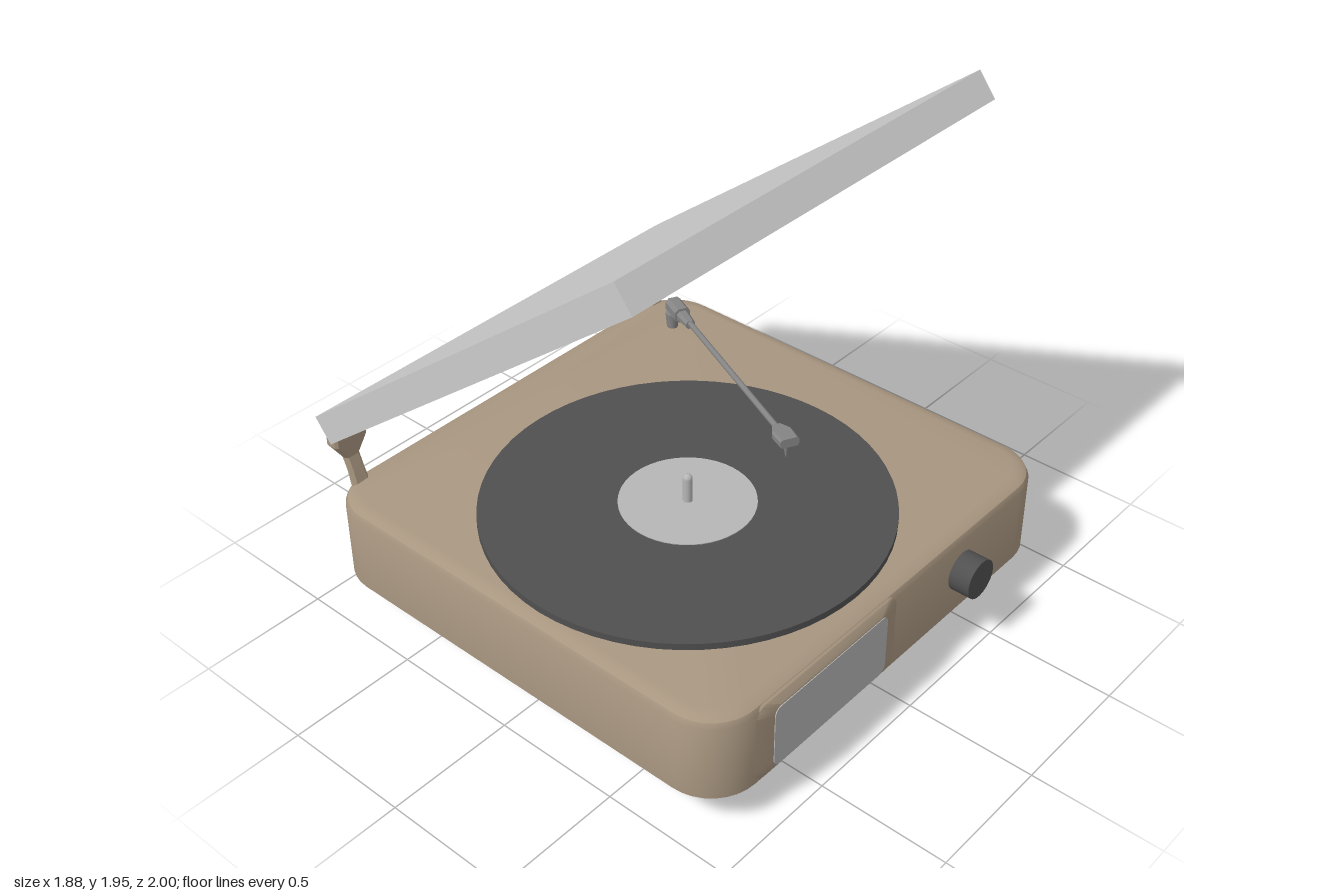
import * as THREE from 'three';
import { toCreasedNormals } from 'three/addons/utils/BufferGeometryUtils.js';

const mat = (color) => new THREE.MeshStandardMaterial({ color });
const BROWN = mat(0xa89680), DARK = mat(0x505050), GREY = mat(0xcccccc);
const PALE = mat(0xb6b6b6), METAL = mat(0x858585);

// Rounded rectangle at height h: w by d, corner radius r, seg steps per corner
function ring(w, d, r, h, seg, cx = 0, cy = 0) {
  const pts = [];
  for (let k = 0; k < 4; k++) {
    const sx = k === 0 || k === 3 ? 1 : -1, sy = k < 2 ? 1 : -1;
    for (let j = 0; j <= seg; j++) {
      const a = (k + (seg ? j / seg : 0.5)) * Math.PI / 2;
      pts.push([cx + sx * (w / 2 - r) + r * Math.cos(a), cy + sy * (d / 2 - r) + r * Math.sin(a), h]);
    }
  }
  return pts;
}

// Skin a stack of rings along z and cap both ends
function loft(rings, crease = 0.5) {
  const pos = [], n = rings[0].length;
  const tri = (a, b, c) => pos.push(...a, ...b, ...c);
  for (let i = 0; i + 1 < rings.length; i++) {
    for (let j = 0; j < n; j++) {
      const k = (j + 1) % n, a = rings[i], b = rings[i + 1];
      tri(a[j], a[k], b[k]);
      tri(a[j], b[k], b[j]);
    }
  }
  const first = rings[0], last = rings[rings.length - 1];
  for (let j = 1; j + 1 < n; j++) {
    tri(first[0], first[j + 1], first[j]);
    tri(last[0], last[j], last[j + 1]);
  }
  const g = new THREE.BufferGeometry();
  g.setAttribute('position', new THREE.Float32BufferAttribute(pos, 3));
  g.computeVertexNormals();
  return toCreasedNormals(g, crease);
}

const upright = (rings, crease) => loft(rings, crease).rotateX(-Math.PI / 2);

function add(parent, name, geometry, material, x = 0, y = 0, z = 0) {
  const m = new THREE.Mesh(geometry, material);
  m.name = name;
  m.position.set(x, y, z);
  parent.add(m);
  return m;
}

export function createModel() {
  const model = new THREE.Group();
  model.name = 'recordPlayer';

  // Cabinet: [height, inset], chamfered below and softly rounded on top
  const cabinet = [[0.13, 0.03], [0.152, 0], [0.455, 0], [0.476, 0.01], [0.487, 0.03], [0.492, 0.06]]
    .map(([y, i]) => ring(1.88 - 2 * i, 1.875 - 2 * i, 0.19 - i, y, 8));
  add(model, 'cabinet', upright(cabinet, 0.6), BROWN, 0, 0, -0.022);

  // Feet
  for (const x of [-0.735, 0.735]) {
    for (const z of [-0.76, 0.7]) {
      add(model, 'foot', new THREE.CylinderGeometry(0.07, 0.07, 0.14, 24), BROWN, x, 0.07, z);
    }
  }

  // Raised surround and front panel
  const surround = [ring(0.77, 0.33, 0.05, 0.905, 5), ring(0.75, 0.32, 0.05, 0.915, 5), ring(0.61, 0.265, 0.035, 0.932, 5)];
  add(model, 'panelSurround', loft(surround), BROWN, -0.38, 0.31, 0);
  add(model, 'frontPanel', loft([ring(0.6, 0.255, 0.03, 0.925, 5), ring(0.6, 0.255, 0.03, 0.935, 5)]), PALE, -0.38, 0.31, 0);

  // Knob
  add(model, 'knob', new THREE.CylinderGeometry(0.077, 0.077, 0.1, 32).rotateX(Math.PI / 2), DARK, 0.39, 0.325, 0.95);

  // Record, label and spindle
  const cx = -0.135, cz = 0.085;
  add(model, 'record', new THREE.CylinderGeometry(0.75, 0.75, 0.028, 64), DARK, cx, 0.504, cz);
  add(model, 'recordLabel', new THREE.CylinderGeometry(0.25, 0.25, 0.004, 48), PALE, cx, 0.519, cz);
  add(model, 'spindle', new THREE.CapsuleGeometry(0.018, 0.1, 4, 16), PALE, cx, 0.567, cz);

  // Tonearm: local +z runs from the pivot towards the head
  const arm = new THREE.Group();
  arm.name = 'tonearm';
  arm.position.set(0.705, 0.575, -0.685);
  arm.rotation.set(-0.06, -0.464, 0, 'YXZ');
  add(arm, 'armRod', new THREE.CylinderGeometry(0.012, 0.012, 0.9, 10).rotateX(Math.PI / 2), METAL, 0, 0.005, 0.52);
  add(arm, 'armBearing', loft([ring(0.052, 0.042, 0.012, 0, 1), ring(0.04, 0.034, 0.01, 0.095, 1)], 0.2), METAL);
  add(arm, 'counterweight', loft([ring(0.065, 0.06, 0.014, -0.095, 1), ring(0.065, 0.06, 0.014, 0.01, 1)], 0.2), METAL);
  add(arm, 'headshell', loft([ring(0.04, 0.03, 0.008, 0.93, 1), ring(0.08, 0.036, 0.008, 0.975, 1),
    ring(0.075, 0.036, 0.008, 1.045, 1)], 0.2), METAL, 0, 0.005, 0);
  add(arm, 'stylus', new THREE.CylinderGeometry(0.012, 0.003, 0.065, 10), METAL, 0, -0.04, 1.01);
  model.add(arm);
  add(model, 'tonearmPost', new THREE.CylinderGeometry(0.028, 0.022, 0.07, 16), METAL, 0.712, 0.522, -0.742);

  // Hinges: [height, width, depth, z], bent backwards and flaring at the lid
  const hinge = [[0.48, 0.07, 0.035, -0.918], [0.535, 0.064, 0.033, -0.935], [0.59, 0.064, 0.034, -0.955],
    [0.655, 0.145, 0.062, -0.966], [0.7, 0.145, 0.06, -0.966], [0.775, 0.08, 0.02, -0.985]]
    .map(([y, w, d, z]) => ring(w, d, 0.01, y, 1, 0, -z));
  for (const x of [-0.8, 0.8]) add(model, 'hinge', upright(hinge, 0.2), BROWN, x, 0, 0);

  // Lid: a hollow tray, from its inner ceiling over the rim to the outer top
  const lid = upright([
    ring(1.68, 1.8, 0, 0.03, 0, 0, -0.005),
    ring(1.74, 1.85, 0, -0.056, 0, 0, 0.01),
    ring(1.8, 1.887, 0, -0.056, 0),
    ring(1.8, 1.887, 0, 0.056, 0),
  ], 0.1);
  add(model, 'lid', lid, GREY, 0, 1.325, -0.22).rotation.x = -0.665;

  return model;
}
